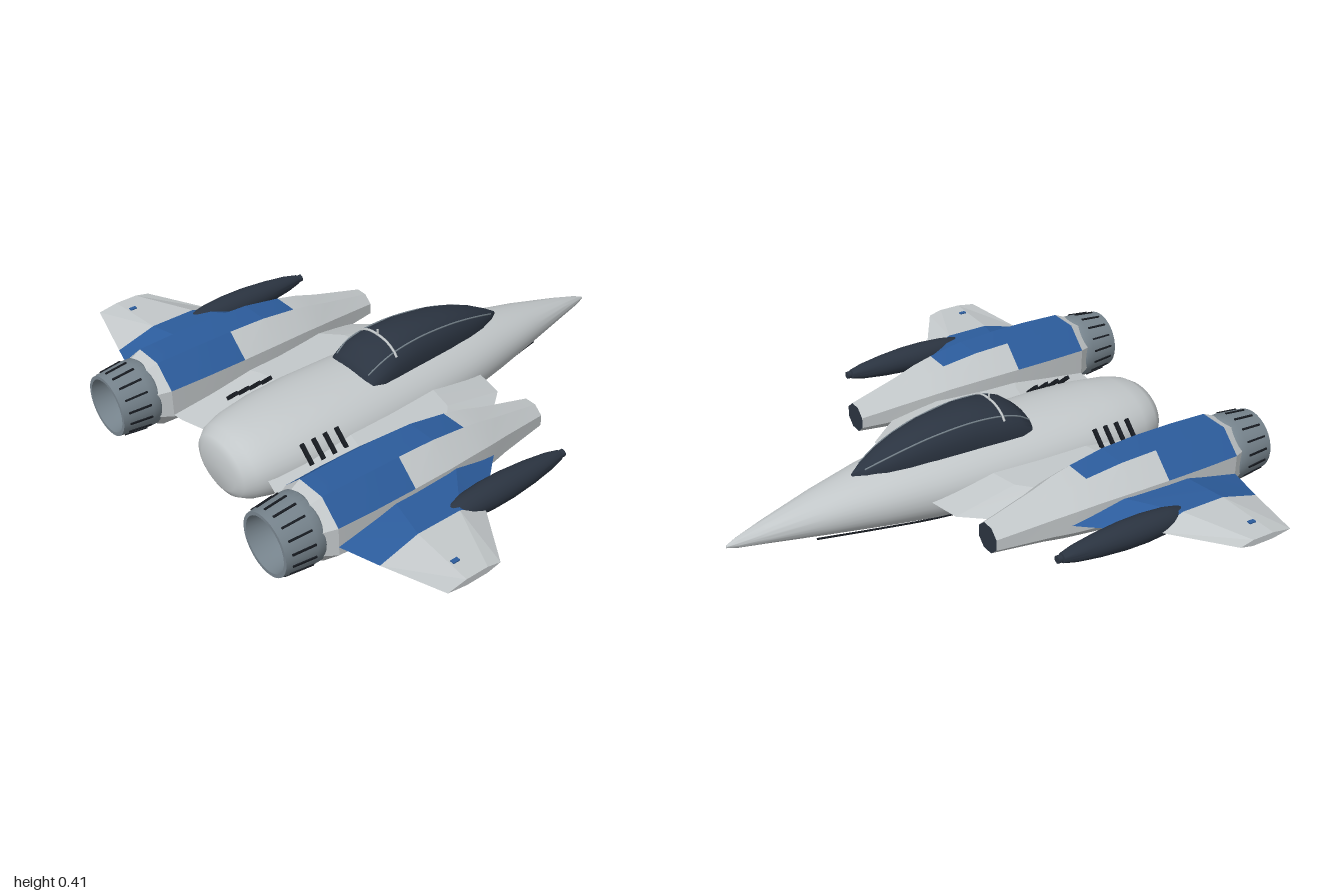
import * as THREE from 'three';
import { toCreasedNormals } from 'three/addons/utils/BufferGeometryUtils.js';

const material = (name, color) => {
  const m = new THREE.MeshStandardMaterial({ color });
  m.name = name;
  return m;
};

// Skin through equal-length rings, with fan caps; pick(i, j) gives the material index (i = -1 front cap)
function loft(rings, crease, pick = () => 0) {
  const n = rings[0].length, pos = rings.flat(2), faces = {};
  const add = (k, ...ids) => (faces[k] ??= []).push(...ids);
  for (let i = 0; i < rings.length - 1; i++) {
    for (let j = 0; j < n; j++) {
      const a = i * n + j, b = i * n + (j + 1) % n;
      add(pick(i, j), a, b, a + n, b, b + n, a + n);
    }
  }
  [0, rings.length - 1].forEach((r, end) => {
    const c = pos.length / 3;
    for (let k = 0; k < 3; k++) pos.push(rings[r].reduce((s, p) => s + p[k], 0) / n);
    for (let j = 0; j < n; j++) {
      const a = r * n + j, b = r * n + (j + 1) % n;
      add(pick(end ? rings.length : -1, j), ...(end ? [c, a, b] : [c, b, a]));
    }
  });
  const geo = new THREE.BufferGeometry(), index = [];
  for (const [k, list] of Object.entries(faces)) {
    geo.addGroup(index.length, list.length, Number(k));
    index.push(...list);
  }
  geo.setAttribute('position', new THREE.Float32BufferAttribute(pos, 3));
  geo.setIndex(index);
  return toCreasedNormals(geo, crease);
}

// Rounded section in the xy plane; power below 1 makes it boxier
function section(z, hw, y0, y1, n, power = 1, turn = 0) {
  const bend = v => Math.sign(v) * Math.abs(v) ** power;
  return Array.from({ length: n }, (_, j) => {
    const t = (j + turn) / n * Math.PI * 2;
    return [hw * bend(Math.cos(t)), (y0 + y1) / 2 + (y1 - y0) / 2 * bend(Math.sin(t)), z];
  });
}

// Flat-sided wing section at one span position
function airfoil([x, z0, z1, y, h]) {
  const c = z1 - z0, a = z0 + c * 0.25, b = z0 + c * 0.65;
  return [[x, y, z0], [x, y + h, a], [x, y + h, b], [x, y, z1], [x, y - h, b], [x, y - h, a]];
}

const wing = (stations, side = 1) => {
  const rings = stations.map(([x, ...rest]) => airfoil([x * side, ...rest]));
  return loft(side > 0 ? rings : rings.reverse(), 0.1);
};

// Turned shape along z from [radius, z] points
const turned = (points, segments) => toCreasedNormals(
  new THREE.LatheGeometry(points.map(p => new THREE.Vector2(...p)), segments).rotateX(Math.PI / 2), 0.6);

export function createModel() {
  const model = new THREE.Group();
  const hullGrey = material('hull grey', 0xc3c8ca);
  const blue = material('panel blue', 0x2c5c9c);
  const dark = material('dark slate', 0x2b3441);
  const metal = material('nozzle metal', 0x76838c);
  const black = material('slot black', 0x171b21);
  const add = (name, geo, mat, x = 0, y = 0, z = 0, parent = model) => {
    const m = new THREE.Mesh(geo, mat);
    m.name = name;
    m.position.set(x, y, z);
    parent.add(m);
    return m;
  };
  const tube = (pts, r) => new THREE.TubeGeometry(
    new THREE.CatmullRomCurve3(pts.map(p => new THREE.Vector3(...p))), 30, r, 6);

  // Fuselage: z, half width, bottom, top
  const hull = [
    [-0.94, 0.004, 0.124, 0.134], [-0.9, 0.018, 0.114, 0.15], [-0.8, 0.045, 0.102, 0.178],
    [-0.6, 0.096, 0.075, 0.226], [-0.4, 0.143, 0.05, 0.264], [-0.2, 0.18, 0.026, 0.288],
    [0, 0.201, 0.01, 0.302], [0.2, 0.214, 0.002, 0.31], [0.4, 0.219, 0.003, 0.31],
    [0.55, 0.21, 0.012, 0.305], [0.68, 0.188, 0.024, 0.292], [0.745, 0.165, 0.035, 0.277],
    [0.78, 0.135, 0.052, 0.257], [0.792, 0.1, 0.075, 0.232]];
  add('fuselage', loft(hull.map(([z, w, a, b]) => section(z, w, a, b, 40, 0.95)), 0.7), hullGrey);

  // Canopy: z, half width, bottom, top
  const glass = [
    [-0.46, 0.004, 0.235, 0.262], [-0.42, 0.032, 0.21, 0.287], [-0.35, 0.06, 0.2, 0.324],
    [-0.27, 0.08, 0.19, 0.356], [-0.17, 0.096, 0.18, 0.384], [-0.02, 0.112, 0.18, 0.402],
    [0.1, 0.122, 0.18, 0.394], [0.17, 0.126, 0.19, 0.37], [0.215, 0.118, 0.2, 0.335],
    [0.235, 0.09, 0.21, 0.305]].map(([z, w, a, b]) => section(z, w, a, b, 32, 0.85));
  add('canopy', loft(glass, 0.6), dark);
  const rails = glass.slice(1, 9);
  for (const j of [4, 12]) add('canopyRail', tube(rails.map(r => r[j]), 0.003), metal);
  add('canopyHoop', tube(glass[6].slice(3, 14), 0.005), hullGrey);
  add('canopyMast', new THREE.CylinderGeometry(0.004, 0.005, 0.03, 8), hullGrey, 0, 0.4, 0.1);

  // Centre wing running through the fuselage between the nacelles
  const inner = [[0.17, -0.24, 0.71, 0.163, 0.05], [0.29, -0.215, 0.745, 0.163, 0.05],
    [0.375, -0.11, 0.755, 0.163, 0.05], [0.47, 0.02, 0.76, 0.165, 0.05]];
  const flip = inner.map(([x, ...r]) => [-x, ...r]).reverse();
  add('centreWing', wing([...flip, ...inner]), hullGrey);

  // Nacelle: z, half width, centre height, half height
  const nacelle = [[-0.2, 0.055, 0.177, 0.05], [0, 0.09, 0.193, 0.083], [0.08, 0.108, 0.2, 0.1],
    [0.16, 0.12, 0.205, 0.112], [0.3, 0.137, 0.209, 0.129], [0.445, 0.143, 0.21, 0.134],
    [0.6, 0.143, 0.21, 0.134], [0.75, 0.137, 0.21, 0.13], [0.795, 0.115, 0.21, 0.113]];
  const k = 1 / Math.cos(Math.PI / 8);
  const nacelleGeo = loft(
    nacelle.map(([z, w, y, h]) => section(z, w * k, y - h * k, y + h * k, 8, 1, 0.5)), 0.1,
    (i, j) => {
      if (i < 0) return 2;
      if (i >= 3 && i <= 6 && j === 1) return 1;
      return i >= 5 && i <= 6 && j <= 2 ? 1 : 0;
    });
  const nozzleGeo = turned([[0.11, 0.77], [0.124, 0.79], [0.125, 0.82], [0.113, 0.933],
    [0.1, 0.933], [0.085, 0.86], [0.06, 0.81]], 32);
  const podGeo = turned([[0, -0.085], [0.018, -0.08], [0.03, -0.03], [0.042, 0.06], [0.05, 0.16],
    [0.051, 0.25], [0.045, 0.34], [0.035, 0.4], [0.02, 0.423], [0, 0.43]], 20);

  for (const s of [1, -1]) {
    const side = new THREE.Group();
    side.name = s > 0 ? 'leftSide' : 'rightSide';
    model.add(side);
    const put = (name, geo, mat, x = 0, y = 0, z = 0) => add(name, geo, mat, x, y, z, side);

    // Engine
    put('nacelle', nacelleGeo, [hullGrey, blue, dark], s * 0.47);
    put('nozzle', nozzleGeo, metal, s * 0.47, 0.21);
    put('engineCore', new THREE.CircleGeometry(0.064, 24), blue, s * 0.47, 0.21, 0.815);
    for (let i = 0; i < 16; i++) {
      const t = (i + 0.5) / 16 * Math.PI * 2;
      const slot = new THREE.BoxGeometry(0.007, 0.008, 0.085).rotateX(0.106)
        .translate(0, 0.12, 0.868).rotateZ(t);
      put('nozzleSlot', slot, black, s * 0.47, 0.21);
    }

    // Outer wing: blue root panel and grey tip
    const joint = [0.76, 0.28, 0.712, 0.198, 0.043];
    put('wingRoot', wing([[0.5, -0.02, 0.775, 0.19, 0.06], [0.61, 0.11, 0.75, 0.19, 0.058], joint], s), blue);
    put('wingTip', wing([joint, [1, 0.437, 0.65, 0.22, 0.012]], s), hullGrey);
    put('wingMark', new THREE.BoxGeometry(0.016, 0.008, 0.026), blue, s * 0.92, 0.235, 0.55);

    // Wing pod
    put('pod', podGeo, dark, s * 0.73, 0.208);
    put('podCap', new THREE.CylinderGeometry(0.014, 0.014, 0.016, 12).rotateX(Math.PI / 2), dark,
      s * 0.73, 0.208, -0.092);

    // Shoulder vents
    for (let i = 0; i < 4; i++) {
      put('vent', new THREE.BoxGeometry(0.078, 0.014, 0.012), black, s * 0.216, 0.232, 0.435 + i * 0.048)
        .rotation.z = -s * 0.75;
    }

    // Belly door plates and seams
    put('bellyDoor', new THREE.BoxGeometry(0.105, 0.008, 0.29), dark, s * 0.117, 0.012, 0.31);
    put('bellySeam', tube([[s * 0.05, 0.078, -0.63], [s * 0.075, 0.054, -0.4], [s * 0.09, 0.032, -0.2],
      [s * 0.1, 0.018, 0], [s * 0.115, 0.012, 0.18]], 0.004), black);
  }
  return model;
}
